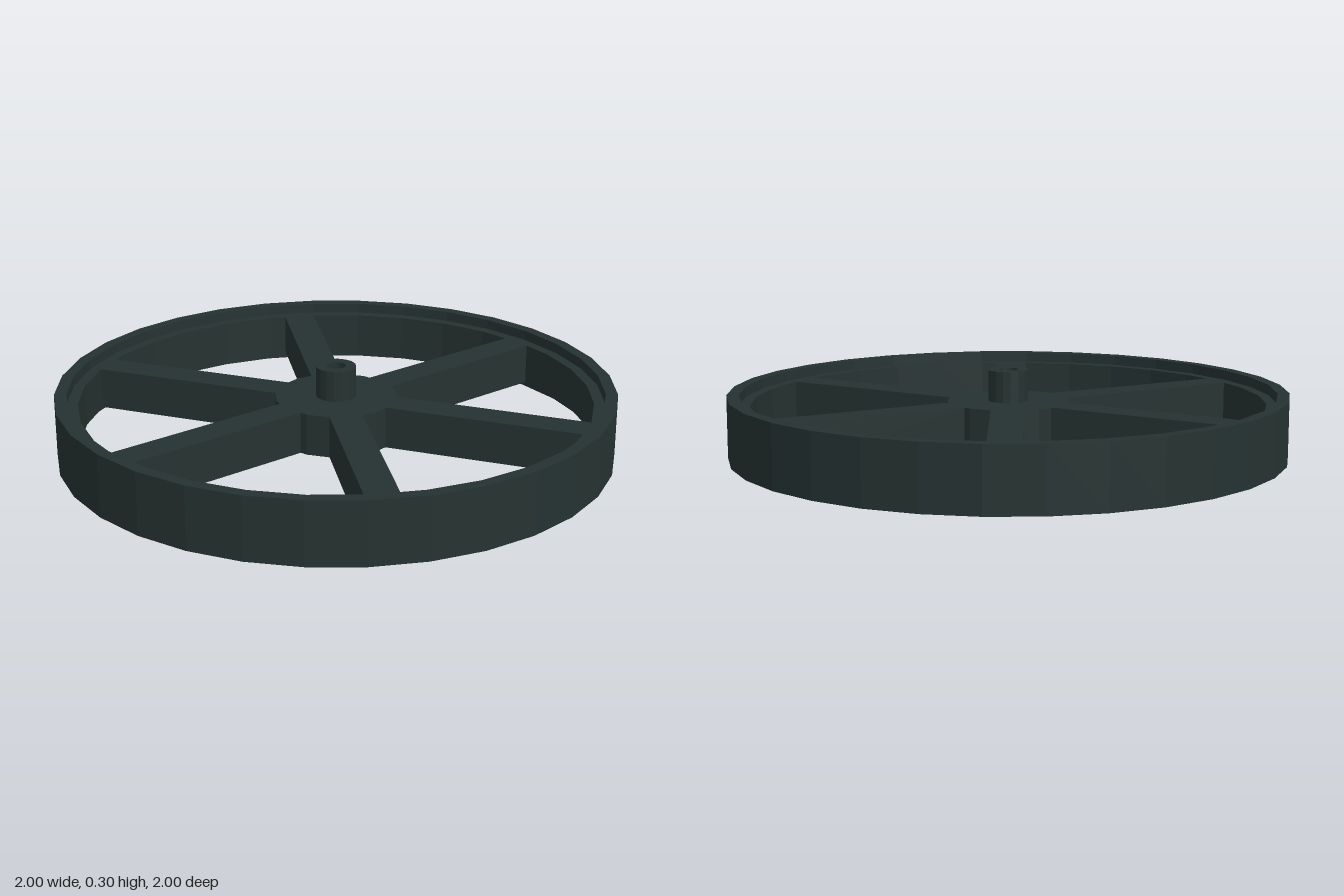
import * as THREE from 'three';

const LOW = 0.037, HIGH = 0.188, TOP = 0.225;

// Closed ring of revolution; the profile runs up the outside and down the inside
function ring(name, profile, sides, material) {
  const points = [...profile, profile[0]].map(([r, y]) => new THREE.Vector2(r, y));
  const mesh = new THREE.Mesh(new THREE.LatheGeometry(points, sides), material);
  mesh.name = name;
  return mesh;
}

export function createModel() {
  const model = new THREE.Group();
  model.name = 'spokedWheel';
  const iron = new THREE.MeshStandardMaterial({ color: 0x253231, flatShading: true });
  iron.name = 'darkIron';

  // Rim: tall outer lip with a recessed ledge above and below
  model.add(ring('rim', [
    [1, 0], [1, TOP], [0.957, TOP], [0.957, HIGH],
    [0.918, HIGH], [0.918, LOW], [0.957, LOW], [0.957, 0],
  ], 32, iron));

  // Hub and raised collar, bored through the middle
  model.add(ring('hub', [[0.22, LOW], [0.22, HIGH], [0.035, HIGH], [0.035, LOW]], 16, iron));
  model.add(ring('collar', [[0.072, HIGH], [0.072, 0.3], [0.035, 0.3], [0.035, HIGH]], 16, iron));

  // Six straight spokes
  const inner = 0.2, outer = 0.93;
  const bar = new THREE.BoxGeometry(outer - inner, HIGH - LOW, 0.116);
  bar.translate((inner + outer) / 2, (HIGH + LOW) / 2, 0);
  for (let i = 0; i < 6; i++) {
    const spoke = new THREE.Mesh(bar, iron);
    spoke.name = 'spoke' + (i + 1);
    spoke.rotation.y = i * Math.PI / 3;
    model.add(spoke);
  }
  return model;
}
